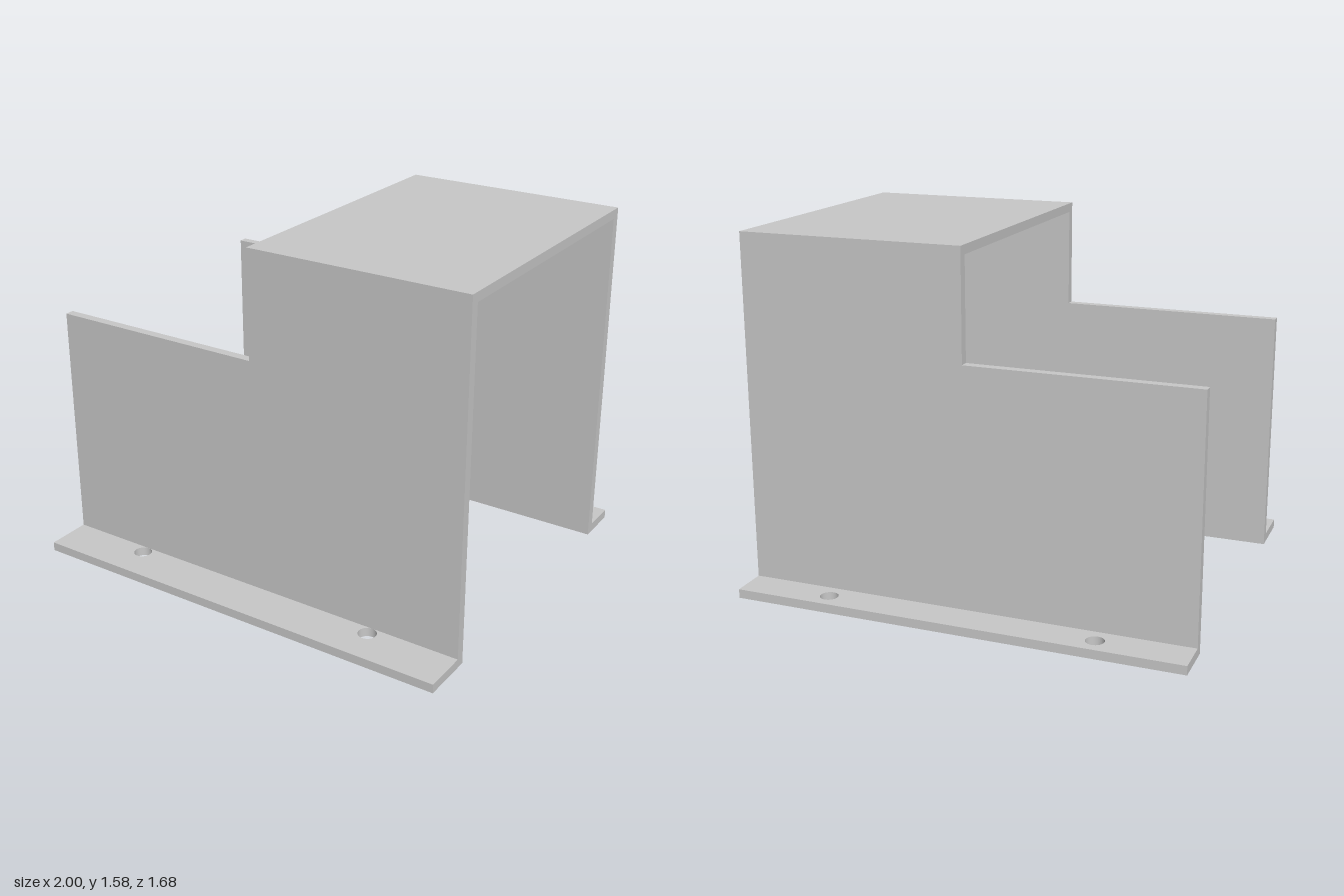
import * as THREE from 'three';

const T = 0.04; // sheet thickness
const TOP = 1.58;
const SHOULDER = 1.1; // height of the lower half of each wall

export function createModel() {
  const metal = new THREE.MeshStandardMaterial({ color: 0xc8c8c8 });
  metal.name = 'light grey sheet metal';

  const model = new THREE.Group();
  model.name = 'mountingCover';
  const add = (geometry, name) => {
    const mesh = new THREE.Mesh(geometry, metal);
    mesh.name = name;
    model.add(mesh);
    return mesh;
  };
  const polygon = (points) => new THREE.Shape(points.map(([x, y]) => new THREE.Vector2(x, y)));
  const extrude = (shape) =>
    new THREE.ExtrudeGeometry(shape, { depth: T, bevelEnabled: false, curveSegments: 32 });

  // Stepped side wall, drawn in x and y
  const wallShape = polygon([[-1, T], [1, T], [1, TOP], [0, TOP], [0, SHOULDER], [-1, SHOULDER]]);

  // z positions of each wall, its flange and its bolt holes
  const sides = [
    { name: 'front', wallZ: 0.6, back: 0.6, front: 0.84, holeZ: 0.68 },
    { name: 'back', wallZ: -0.68, back: -0.84, front: -0.64, holeZ: -0.76 },
  ];
  for (const { name, wallZ, back, front, holeZ } of sides) {
    add(extrude(wallShape), name + 'Wall').position.z = wallZ;

    // Foot flange with two bolt holes, drawn in x and -z
    const flange = polygon([[-1, -front], [1, -front], [1, -back], [-1, -back]]);
    for (const x of [-0.6, 0.6]) {
      flange.holes.push(new THREE.Path().absarc(x, -holeZ, 0.04, 0, Math.PI * 2, true));
    }
    add(extrude(flange).rotateX(-Math.PI / 2), name + 'Flange');
  }

  // Roof plate between the taller halves of the walls
  const roof = add(new THREE.BoxGeometry(1, T, 1.24), 'roof');
  roof.position.set(0.5, TOP - T / 2, -0.02);

  return model;
}
